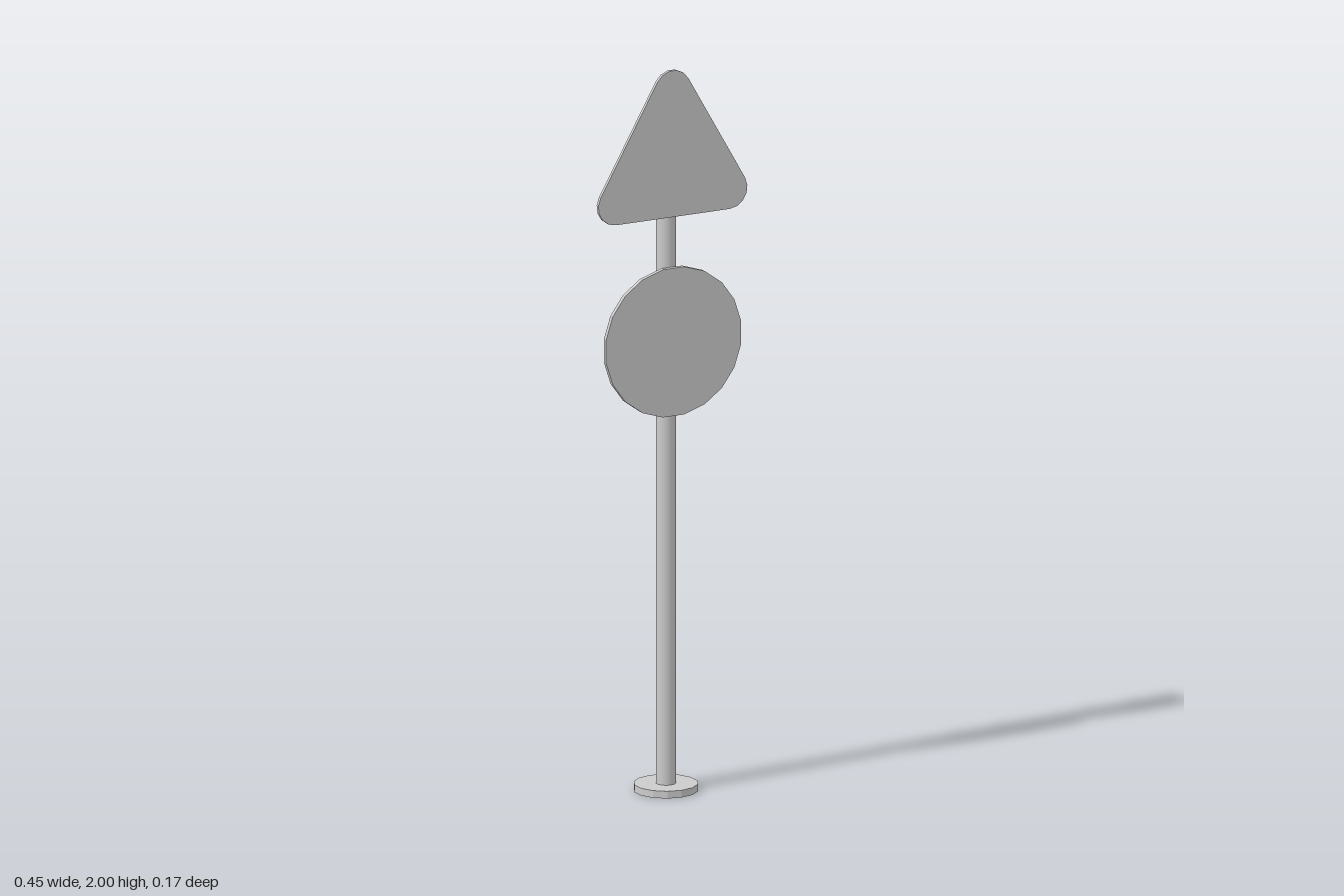
import * as THREE from 'three';

const material = new THREE.MeshStandardMaterial({ color: 0xcccccc });
const flat = new THREE.MeshStandardMaterial({ color: 0xcccccc, flatShading: true });

function add(parent, name, geometry, mat, x = 0, y = 0, z = 0) {
  const mesh = new THREE.Mesh(geometry, mat);
  mesh.name = name;
  mesh.position.set(x, y, z);
  parent.add(mesh);
  return mesh;
}

// Equilateral plate outline with rounded corners, bottom edge at y = 0
function roundedTriangle(halfWidth, r) {
  const a = halfWidth - r;
  const corners = [[a, r, -90], [0, r + a * Math.sqrt(3), 30], [-a, r, 150]];
  const points = [];
  for (const [cx, cy, start] of corners) {
    for (let i = 0; i <= 5; i++) {
      const t = THREE.MathUtils.degToRad(start + i * 24);
      points.push(new THREE.Vector2(cx + r * Math.cos(t), cy + r * Math.sin(t)));
    }
  }
  return new THREE.Shape(points);
}

// Strap outline seen from above: flange, bend, loop behind the pole, bend, flange
function strapOutline(r, bendX, flangeZ) {
  const half = [[0.075, flangeZ], [bendX + 0.012, flangeZ], [bendX + 0.004, flangeZ - 0.004], [bendX, flangeZ - 0.012]];
  const points = half.map(([x, z]) => new THREE.Vector2(x, z));
  for (let i = 0; i <= 12; i++) {
    const t = -Math.PI * i / 12;
    points.push(new THREE.Vector2(r * Math.cos(t), r * Math.sin(t)));
  }
  for (const [x, z] of half.reverse()) points.push(new THREE.Vector2(-x, z));
  return points;
}

function clampGeometry(height) {
  const outer = strapOutline(0.032, 0.034, 0.027);
  const inner = strapOutline(0.029, 0.031, 0.03);
  const shape = new THREE.Shape([...outer, ...inner.reverse()]);
  const geometry = new THREE.ExtrudeGeometry(shape, { depth: height, bevelEnabled: false });
  geometry.translate(0, 0, -height / 2);
  return geometry.rotateX(Math.PI / 2);
}

export function createModel() {
  const model = new THREE.Group();
  model.name = 'roadSign';

  // Foot and pole
  add(model, 'basePlate', new THREE.CylinderGeometry(0.087, 0.087, 0.02, 14), flat, 0, 0.01, 0);
  add(model, 'pole', new THREE.CylinderGeometry(0.027, 0.027, 1.949, 20), material, 0, 0.9755, 0);

  // Triangular plate
  const triangle = new THREE.ExtrudeGeometry(roundedTriangle(0.226, 0.054), { depth: 0.01, bevelEnabled: false });
  add(model, 'trianglePlate', triangle, material, 0, 1.595, 0.029);

  // Round plate, turned so a flat edge is on top
  const disc = new THREE.CylinderGeometry(0.207, 0.207, 0.013, 20);
  disc.rotateY(Math.PI / 20).rotateX(Math.PI / 2);
  add(model, 'roundPlate', disc, flat, 0, 1.25, 0.0365);

  // Two clamps behind each plate
  const clamp = clampGeometry(0.02);
  for (const y of [1.15, 1.333, 1.65, 1.833]) add(model, 'clamp', clamp, material, 0, y, 0);

  return model;
}
